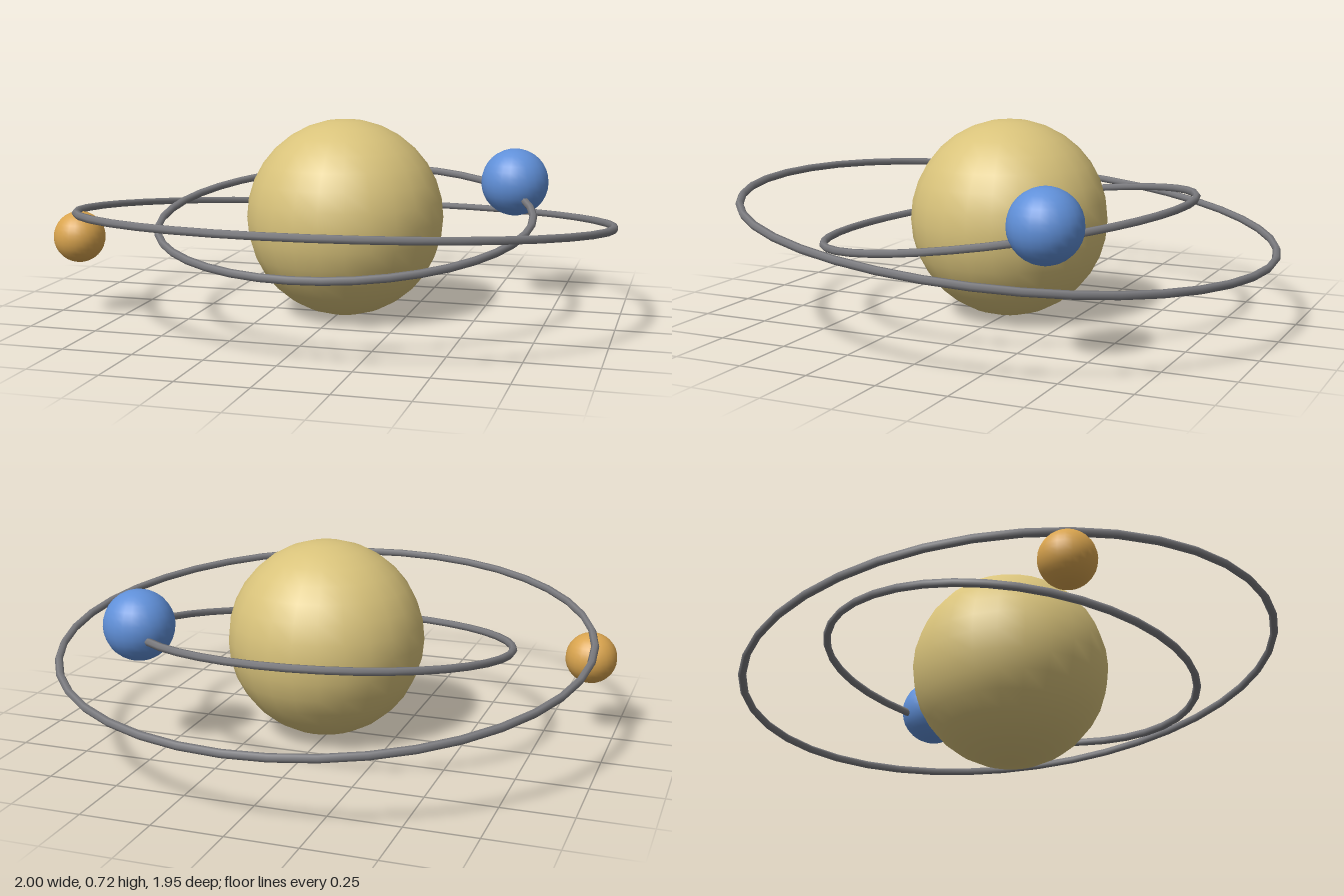
import * as THREE from 'three';

const U = 0.358; // radius of the central planet
const rad = THREE.MathUtils.degToRad;

const material = (name, color) => {
  const m = new THREE.MeshStandardMaterial({ color });
  m.name = name;
  return m;
};

export function createModel() {
  const model = new THREE.Group();
  model.name = 'planetWithMoons';
  model.position.set(0.019, U, 0); // the planet rests on the ground

  const sand = material('sand', 0xd9c37b);
  const blue = material('blue', 0x6090d9);
  const orange = material('orange', 0xd9a44e);
  const grey = material('grey', 0x7c7c80);

  const add = (name, geometry, mat) => {
    const mesh = new THREE.Mesh(geometry, mat);
    mesh.name = name;
    model.add(mesh);
    return mesh;
  };

  // Central planet
  add('planet', new THREE.SphereGeometry(U, 24, 16), sand);

  // Thin six-sided orbit rings, tilted opposite ways about x
  const ring = (name, radius, tilt) => {
    const geometry = new THREE.TorusGeometry(radius * U, 0.04 * U, 6, 40);
    add(name, geometry, grey).rotation.x = rad(90 + tilt);
  };
  ring('innerOrbit', 1.9, 8);
  ring('outerOrbit', 2.7, -6);

  // Moons, placed by orbit radius, angle from +x towards +z, and height
  const moon = (name, size, orbit, degrees, height, mat) => {
    const a = rad(degrees);
    add(name, new THREE.SphereGeometry(size * U, 24, 16), mat)
      .position.set(Math.cos(a) * orbit * U, height * U, Math.sin(a) * orbit * U);
  };
  moon('blueMoon', 0.355, 1.9, -34.4, 0.27, blue);
  moon('orangeMoon', 0.26, 2.7, 162.8, -0.19, orange);

  return model;
}
